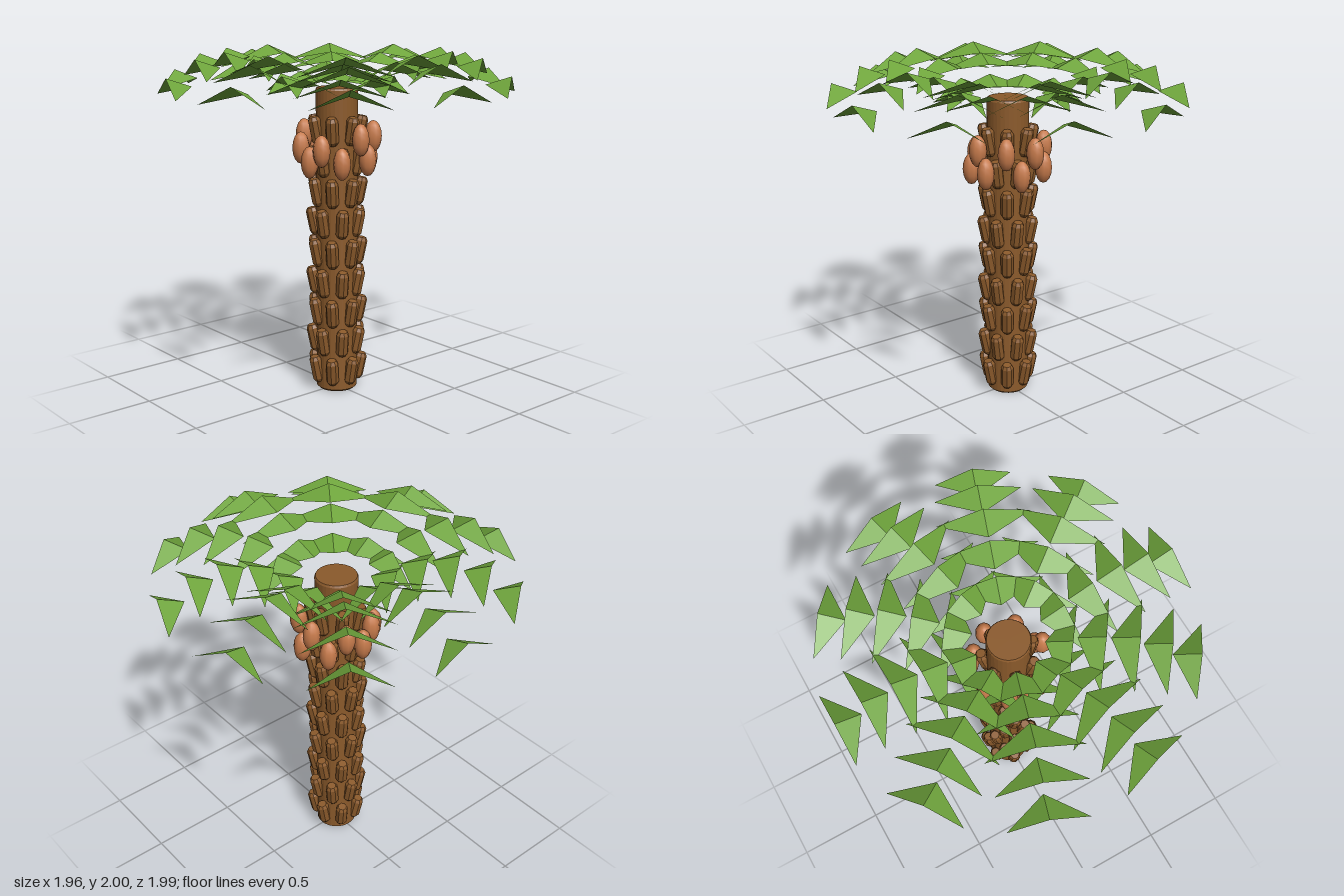
import * as THREE from 'three';

const material = (name, color, side = THREE.FrontSide) => {
  const m = new THREE.MeshStandardMaterial({ color, side });
  m.name = name;
  return m;
};

export function createModel() {
  const palm = new THREE.Group();
  palm.name = 'palmTree';
  const bark = material('barkBrown', 0x8b5a2b);
  const fruit = material('fruitOrange', 0xc67a4b);
  const green = material('leafGreen', 0x6fa53c, THREE.DoubleSide);

  const lathe = (points, sides) =>
    new THREE.LatheGeometry(points.map(([r, y]) => new THREE.Vector2(r, y)), sides);
  const flat = (geometry) => {
    const g = geometry.toNonIndexed();
    g.computeVertexNormals();
    return g;
  };
  const add = (parent, name, geometry, mat) => {
    const mesh = new THREE.Mesh(geometry, mat);
    mesh.name = name;
    parent.add(mesh);
    return mesh;
  };
  // Group turned around the trunk, with its +x axis pointing outward
  const spoke = (name, angle) => {
    const g = new THREE.Group();
    g.name = name;
    g.rotation.y = -angle;
    palm.add(g);
    return g;
  };

  // Trunk with slightly rounded ends
  add(palm, 'trunk', flat(lathe(
    [[0, 0], [0.108, 0], [0.12, 0.012], [0.12, 1.778], [0.114, 1.79], [0, 1.79]], 32)), bark);

  // Bark scales: nine staggered rings of seven, leaning outward at the top
  const scaleGeo = flat(lathe(
    [[0, -0.08], [0.024, -0.08], [0.037, -0.058], [0.037, 0.06], [0.026, 0.08], [0, 0.08]], 8));
  for (let row = 0; row < 9; row++) {
    for (let i = 0; i < 7; i++) {
      const s = spoke('barkScale', (i + (row % 2) / 2) * Math.PI * 2 / 7);
      const m = add(s, 'scale', scaleGeo, bark);
      m.position.set(0.131, 0.127 + row * 0.178, 0);
      m.rotation.z = -0.2;
    }
  }

  // Fruit cluster: [angle in degrees, height]
  const fruitGeo = new THREE.SphereGeometry(1, 10, 8).scale(0.05, 0.092, 0.05);
  const fruits = [[0, 1.51], [32, 1.38], [64, 1.45], [87, 1.38], [118, 1.45], [155, 1.51],
    [176, 1.44], [205, 1.5], [232, 1.4], [260, 1.5], [285, 1.38], [309, 1.51], [343, 1.39]];
  for (const [deg, y] of fruits) {
    const s = spoke('fruit', deg * Math.PI / 180);
    add(s, 'fruitBody', fruitGeo, fruit).position.set(0.208, y, 0);
  }

  // Leaflet: two triangles folded along a ridge that rises outward
  const leaflet = (halfWidth) => {
    const inner = [-0.142, -0.048, 0], ridge = [0, 0, 0];
    const g = new THREE.BufferGeometry();
    g.setAttribute('position', new THREE.Float32BufferAttribute([
      ...inner, 0, -0.1, halfWidth, ...ridge,
      ...inner, ...ridge, 0, -0.1, -halfWidth], 3));
    g.computeVertexNormals();
    return g;
  };

  // Ten arching fronds; leaflets as [radius, ridge height, half width]
  const leaves = [[0.98, 1.87, 0.21], [0.82, 1.965, 0.235], [0.655, 2, 0.253],
    [0.49, 1.958, 0.26], [0.33, 1.86, 0.255]].map(([r, y, w]) => ({ r, y, geo: leaflet(w) }));
  for (let i = 0; i < 10; i++) {
    const frond = spoke('frond', i * Math.PI / 5);
    for (const { r, y, geo } of leaves) add(frond, 'leaflet', geo, green).position.set(r, y, 0);
  }
  return palm;
}
